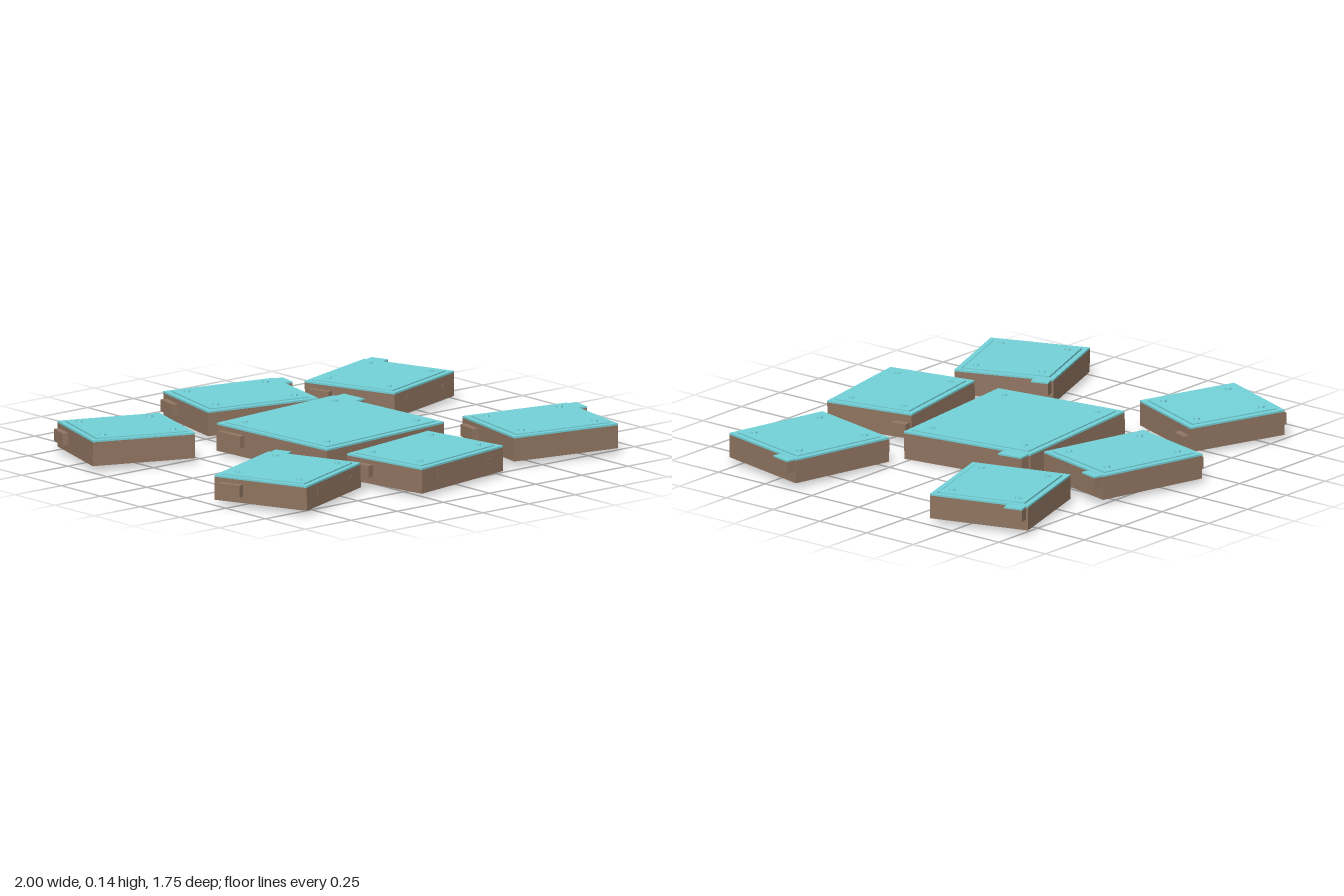
import * as THREE from 'three';

const stone = new THREE.MeshStandardMaterial({ color: 0x917561, flatShading: true });
const glaze = new THREE.MeshStandardMaterial({ color: 0x74d3da, flatShading: true });

// x, z, width, depth, yaw, thickness, pitch, roll, right tab [reach, length, raised]
const slabs = [
  { name: 'backLeftSlab', x: -0.70, z: -0.48, w: 0.45, d: 0.41, yaw: -0.345, h: 0.1, pitch: -0.014, roll: -0.008, tab: [0.03, 0.075, false] },
  { name: 'backSlab', x: 0.035, z: -0.614, w: 0.508, d: 0.408, yaw: -0.24, h: 0.098, pitch: 0, roll: 0.005, tab: [0.04, 0.085, true] },
  { name: 'backRightSlab', x: 0.688, z: -0.499, w: 0.467, d: 0.434, yaw: 0.31, h: 0.098, pitch: -0.005, roll: 0, tab: [0.045, 0.08, true] },
  { name: 'centreSlab', x: -0.01, z: 0.006, w: 0.70, d: 0.625, yaw: 0.105, h: 0.11, pitch: 0.018, roll: -0.004, tab: [0.055, 0.115, true] },
  { name: 'frontLeftSlab', x: -0.69, z: 0.529, w: 0.47, d: 0.43, yaw: 0.37, h: 0.097, pitch: 0, roll: 0.006, tab: [0.045, 0.075, true] },
  { name: 'frontSlab', x: -0.035, z: 0.633, w: 0.53, d: 0.398, yaw: 0.18, h: 0.1, pitch: 0.01, roll: 0, tab: [0.035, 0.07, false] },
  { name: 'frontRightSlab', x: 0.676, z: 0.533, w: 0.487, d: 0.443, yaw: -0.21, h: 0.097, pitch: -0.008, roll: 0.004, tab: [0.042, 0.09, true] },
];

// Box given by its centre in plan, its top and its height
function block(parent, name, material, x, top, z, w, h, d) {
  const mesh = new THREE.Mesh(new THREE.BoxGeometry(w, h, d), material);
  mesh.position.set(x, top - h / 2, z);
  mesh.name = name;
  parent.add(mesh);
}

// Heights are measured from the top of the stone body
function makeSlab({ name, x, z, w, d, yaw, h, pitch, roll, tab }) {
  const g = new THREE.Group();
  g.name = name;
  const lip = 0.022, gap = 0.005, hw = w / 2, hd = d / 2;

  block(g, 'stoneBody', stone, 0, 0, 0, w, h, d);
  block(g, 'topPlate', glaze, 0, 0.011, 0, w - 2 * (lip + gap), 0.011, d - 2 * (lip + gap));

  // Edging strips around the plate
  for (const s of [-1, 1]) {
    block(g, 'longEdging', glaze, 0, 0.008, s * (hd - lip / 2), w, 0.008, lip);
    block(g, 'sideEdging', glaze, s * (hw - lip / 2), 0.008, 0, lip, 0.008, d - 2 * lip);
  }

  // Corner studs
  const inset = 0.05 + 0.045 * w;
  for (const sx of [-1, 1]) for (const sz of [-1, 1]) {
    const stud = new THREE.Mesh(new THREE.CylinderGeometry(0.013, 0.015, 0.009, 6), glaze);
    stud.position.set(sx * (hw - inset), 0.0145, sz * (hd - inset));
    stud.name = 'cornerStud';
    g.add(stud);
  }

  // Side tabs near the back corners
  const [reach, length, raised] = tab;
  const tz = -hd + length / 2 + 0.008;
  block(g, 'rightTab', stone, hw + reach / 2 - 0.01, raised ? 0 : -0.03, tz, reach + 0.02, 0.05, length);
  if (raised) block(g, 'rightTabCap', glaze, hw + reach / 2, 0.007, tz, reach, 0.007, length);
  const leftLength = 0.05 + 0.11 * w;
  block(g, 'leftTab', stone, -hw - 0.005, -0.018, -hd + 0.03 + leftLength / 2, 0.045, 0.05, leftLength);

  // Shallow chips on the front face
  block(g, 'frontChip', stone, -0.3 * w, -0.015, hd, 0.008, 0.03, 0.006);
  block(g, 'frontChip', stone, 0.32 * w, -0.03, hd, 0.025, 0.018, 0.006);

  g.position.set(x, 0.118, z);
  g.rotation.set(pitch, yaw, roll, 'YXZ');
  return g;
}

export function createModel() {
  const model = new THREE.Group();
  model.name = 'slabCluster';
  for (const s of slabs) model.add(makeSlab(s));
  // Rest the lowest corner on the ground
  model.updateMatrixWorld(true);
  const low = new THREE.Box3().setFromObject(model, true).min.y;
  for (const slab of model.children) slab.position.y -= low;
  return model;
}
